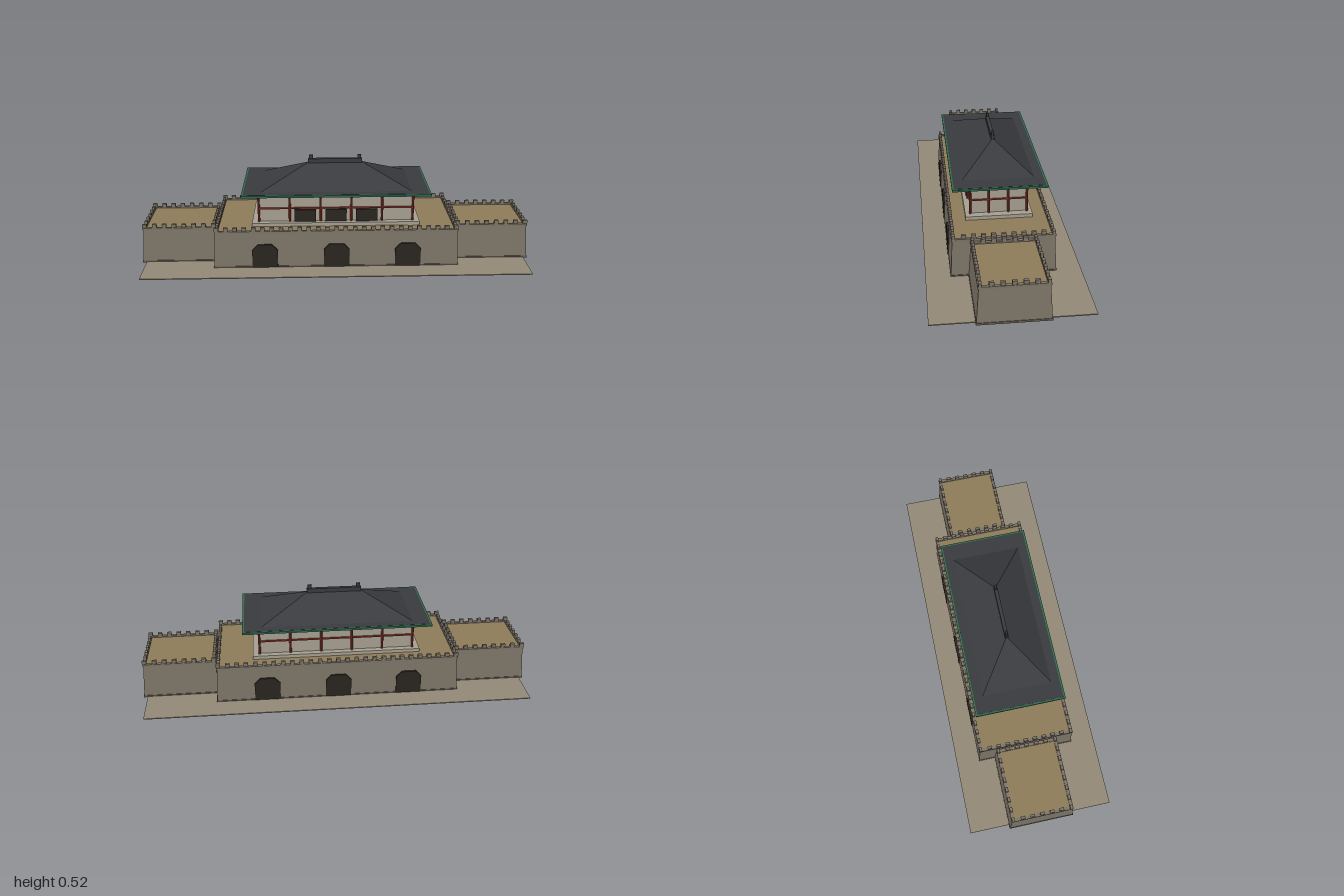
import * as THREE from 'three';

const mat = (color) => new THREE.MeshStandardMaterial({ color, flatShading: true });
const M = {
  stone: mat(0x7d7568), plinth: mat(0x655e53), ground: mat(0x938a78), deck: mat(0x8f7d5a),
  wall: mat(0xa8a192), red: mat(0x8a3528), roof: mat(0x3a3b3f), green: mat(0x2f6b4f), dark: mat(0x2a2520),
};

function add(parent, name, geo, material, x = 0, y = 0, z = 0) {
  const mesh = new THREE.Mesh(geo, material);
  mesh.name = name;
  mesh.position.set(x, y, z);
  parent.add(mesh);
  return mesh;
}

// Box given by its half width, half depth and its bottom and top heights
const box = (parent, name, m, hx, hz, y0, y1, x = 0, z = 0) =>
  add(parent, name, new THREE.BoxGeometry(2 * hx, y1 - y0, 2 * hz), m, x, (y0 + y1) / 2, z);

// Box whose top has its own half width and depth
function taper(parent, name, m, hx, hz, tx, tz, y0, y1, x = 0) {
  const mesh = box(parent, name, m, hx, hz, y0, y1, x);
  const p = mesh.geometry.attributes.position;
  for (let i = 0; i < p.count; i++) {
    if (p.getY(i) > 0) {
      p.setX(i, Math.sign(p.getX(i)) * tx);
      p.setZ(i, Math.sign(p.getZ(i)) * tz);
    }
  }
  mesh.geometry.computeVertexNormals();
  return mesh;
}

// Four bars around a rectangle
function frame(parent, name, m, hx, hz, t, y0, y1, x = 0) {
  for (const s of [-1, 1]) {
    box(parent, name, m, hx, t / 2, y0, y1, x, s * (hz - t / 2));
    box(parent, name, m, t / 2, hz - t, y0, y1, x + s * (hx - t / 2), 0);
  }
}

// Row of merlons round a rectangle
function merlons(parent, hx, hz, y0, y1, x = 0) {
  const nx = Math.round(2 * hx / 0.047), nz = Math.round(2 * hz / 0.047);
  for (const s of [-1, 1]) {
    for (let i = 0; i <= nx; i++)
      box(parent, 'merlon', M.stone, 0.011, 0.007, y0, y1, x - hx + 2 * hx * i / nx, s * hz);
    for (let i = 1; i < nz; i++)
      box(parent, 'merlon', M.stone, 0.007, 0.011, y0, y1, x + s * hx, -hz + 2 * hz * i / nz);
  }
}

// Battered wall block with plinth, paved top and battlements
function bastion(name, x, hx, hz, tx, tz, h) {
  const g = new THREE.Group();
  g.name = name;
  box(g, 'plinth', M.plinth, hx, hz, 0.002, 0.012, x);
  taper(g, 'batteredWall', M.stone, hx - 0.002, hz - 0.002, tx, tz, 0.002, h, x);
  box(g, 'pavedTop', M.deck, tx - 0.005, tz - 0.005, h - 0.01, h + 0.002, x);
  frame(g, 'parapet', M.stone, tx + 0.004, tz + 0.004, 0.016, h - 0.002, h + 0.009, x);
  merlons(g, tx - 0.006, tz - 0.006, h + 0.009, h + 0.027, x);
  return g;
}

function archway(x) {
  const s = new THREE.Shape();
  s.moveTo(-0.065, 0);
  s.lineTo(0.065, 0);
  s.lineTo(0.065, 0.1);
  s.lineTo(0.036, 0.13);
  s.lineTo(-0.036, 0.13);
  s.lineTo(-0.065, 0.1);
  s.closePath();
  const geo = new THREE.ExtrudeGeometry(s, { depth: 0.508, bevelEnabled: false });
  geo.translate(x, 0, -0.254);
  return geo;
}

function createHall() {
  const g = new THREE.Group();
  g.name = 'hall';
  box(g, 'podium', M.wall, 0.43, 0.163, 0.185, 0.211);
  box(g, 'hallWalls', M.wall, 0.392, 0.134, 0.205, 0.35);

  // Columns on all four sides
  const column = new THREE.CylinderGeometry(0.006, 0.006, 0.148, 8);
  const xs = [-0.395, -0.237, -0.079, 0.079, 0.237, 0.395];
  for (const s of [-1, 1]) {
    for (const x of xs) add(g, 'column', column, M.red, x, 0.281, s * 0.138);
    for (const z of [-0.047, 0.047]) add(g, 'column', column, M.red, s * 0.395, 0.281, z);
    // Middle rails, top beams and projecting beam ends
    box(g, 'middleRail', M.red, 0.395, 0.004, 0.279, 0.286, 0, s * 0.138);
    box(g, 'middleRail', M.red, 0.004, 0.138, 0.279, 0.286, s * 0.395);
    box(g, 'topBeam', M.red, 0.415, 0.006, 0.344, 0.355, 0, s * 0.138);
    box(g, 'topBeam', M.red, 0.006, 0.145, 0.344, 0.355, s * 0.395);
    for (const x of xs) box(g, 'beamEnd', M.red, 0.006, 0.014, 0.346, 0.354, x, s * 0.154);
  }

  // Front doors
  for (const x of [-0.158, 0, 0.158]) box(g, 'door', M.dark, 0.055, 0.006, 0.21, 0.275, x, 0.139);
  return g;
}

function createRoof() {
  const g = new THREE.Group();
  g.name = 'roof';
  box(g, 'eaves', M.roof, 0.467, 0.219, 0.373, 0.383);
  frame(g, 'eaveTrim', M.green, 0.476, 0.228, 0.01, 0.372, 0.382);
  taper(g, 'hippedRoof', M.roof, 0.385, 0.178, 0.14, 0.004, 0.381, 0.486);
  box(g, 'ridge', M.roof, 0.14, 0.009, 0.482, 0.505);
  for (const s of [-1, 1]) box(g, 'ridgeOrnament', M.roof, 0.01, 0.005, 0.5, 0.525, s * 0.125);
  return g;
}

export function createModel() {
  const model = new THREE.Group();
  model.name = 'gatehouse';
  box(model, 'ground', M.ground, 0.98, 0.37, 0.001, 0.006);

  // Central gate block and the lower wall on either side
  model.add(bastion('gateBlock', 0, 0.624, 0.252, 0.612, 0.241, 0.191));
  for (const s of [-1, 1])
    model.add(bastion(s > 0 ? 'leftWing' : 'rightWing', s * 0.805, 0.195, 0.168, 0.181, 0.154, 0.18));

  // Three passages running right through the gate block
  for (const x of [-0.363, 0, 0.363]) add(model, 'archway', archway(x), M.dark);

  model.add(createHall(), createRoof());
  return model;
}
